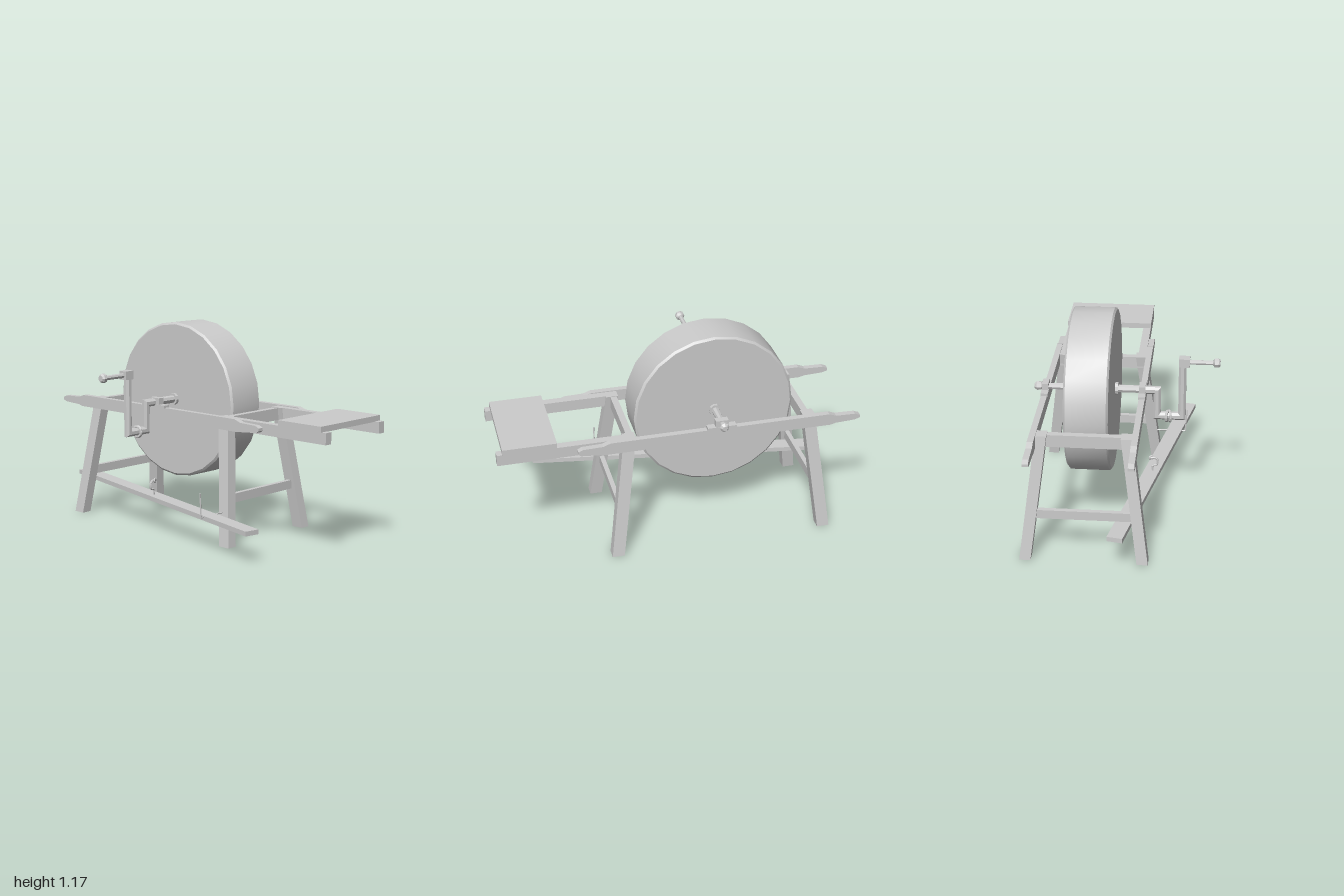
import * as THREE from 'three';
import { toCreasedNormals } from 'three/addons/utils/BufferGeometryUtils.js';

const CX = 0.172, CZ = -0.212; // centre of the trestle
const AXLE_Y = 0.73;

export function createModel() {
  const root = new THREE.Group();
  const flat = new THREE.MeshStandardMaterial({ color: 0xcccccc, flatShading: true });
  const smooth = new THREE.MeshStandardMaterial({ color: 0xcccccc });

  function add(name, geo, mat = flat) {
    const mesh = new THREE.Mesh(geo, mat);
    mesh.name = name;
    root.add(mesh);
    return mesh;
  }
  // box given by its limits on each axis
  function box(name, x0, x1, y0, y1, z0, z1) {
    const geo = new THREE.BoxGeometry(x1 - x0, y1 - y0, z1 - z0);
    geo.translate((x0 + x1) / 2, (y0 + y1) / 2, (z0 + z1) / 2);
    return add(name, geo);
  }
  // turned part along x: profile of [x, radius]
  function turned(name, profile, y, z, sides, crease = 0.6) {
    const geo = new THREE.LatheGeometry(profile.map(([x, r]) => new THREE.Vector2(r, x)), sides);
    geo.rotateZ(-Math.PI / 2);
    geo.translate(0, y, z);
    return add(name, toCreasedNormals(geo, crease), smooth);
  }
  // bar with mitred corners along a path of [x, y] in a plane of constant z
  function mitredBar(name, path, z, r, sides = 8) {
    const pts = path.map(p => new THREE.Vector2(...p));
    const pos = [], idx = [];
    pts.forEach((p, i) => {
      const a = pts[Math.max(i - 1, 0)], b = pts[Math.min(i + 1, pts.length - 1)];
      const d0 = (i ? p.clone().sub(a) : b.clone().sub(p)).normalize();
      const d1 = (i < pts.length - 1 ? b.clone().sub(p) : d0.clone()).normalize();
      const t = d0.clone().add(d1).normalize();
      const k = r / t.dot(d0);
      for (let j = 0; j < sides; j++) {
        const an = ((j + 0.5) / sides) * Math.PI * 2;
        const c = Math.cos(an) * k;
        pos.push(p.x - t.y * c, p.y + t.x * c, z + Math.sin(an) * r);
        if (i < pts.length - 1) {
          const q = i * sides + j, n = i * sides + (j + 1) % sides;
          idx.push(q, n, q + sides, n, n + sides, q + sides);
        }
      }
    });
    const last = (pts.length - 1) * sides;
    for (let j = 1; j < sides - 1; j++) idx.push(0, j + 1, j, last, last + j, last + j + 1);
    const geo = new THREE.BufferGeometry();
    geo.setAttribute('position', new THREE.Float32BufferAttribute(pos, 3));
    geo.setIndex(idx);
    geo.computeVertexNormals();
    return add(name, geo);
  }

  // grindstone with a small chamfer
  const R = 0.447;
  turned('grindstone', [[0.055, 0], [0.055, R - 0.012], [0.065, R], [0.28, R], [0.29, R - 0.012], [0.29, 0]],
    0.726, CZ, 24, 0.5);

  // long side rails with shaped handle ends
  const half = [[0.573, 0.66], [0.56, 0.65], [0.5, 0.645], [0.42, 0.637], [-0.83, 0.637], [-0.86, 0.645],
    [-0.97, 0.65], [-1, 0.66], [-1, 0.675], [-0.97, 0.687], [-0.86, 0.69], [-0.82, 0.705], [0.4, 0.705],
    [0.44, 0.69], [0.55, 0.687], [0.573, 0.675]];
  for (const [side, x] of [['right', -0.111], ['left', 0.422]]) {
    const shape = new THREE.Shape(half.map(([z, y]) => new THREE.Vector2(-z, y)));
    const geo = new THREE.ExtrudeGeometry(shape, { depth: 0.033, bevelEnabled: false });
    geo.rotateY(Math.PI / 2);
    geo.translate(x, 0, 0);
    add(side + 'Rail', geo);
  }

  // splayed legs: sheared boxes
  for (const sx of [-1, 1]) for (const sz of [-1, 1]) {
    const geo = new THREE.BoxGeometry(0.06, 0.7, 0.068);
    geo.translate(CX + sx * 0.313, 0.35, CZ + sz * 0.593);
    const p = geo.attributes.position;
    for (let i = 0; i < p.count; i++) {
      const t = p.getY(i) / 0.7;
      p.setXYZ(i, p.getX(i) - sx * 0.09 * t, p.getY(i), p.getZ(i) - sz * 0.091 * t);
    }
    geo.computeVertexNormals();
    add((sz > 0 ? 'front' : 'back') + (sx > 0 ? 'Left' : 'Right') + 'Leg', geo);
  }

  // upper cross beams and lower stretchers
  for (const s of [-1, 1]) {
    const end = s > 0 ? 'front' : 'back';
    const zb = CZ + s * 0.494, zs = CZ + s * 0.56;
    box(end + 'CrossBeam', -0.078, 0.422, 0.628, 0.697, zb - 0.018, zb + 0.018);
    box(end + 'Stretcher', -0.11, 0.454, 0.23, 0.28, zs - 0.013, zs + 0.013);
  }

  // seat board on two arms
  for (const [side, x] of [['right', -0.078], ['left', 0.377]])
    box(side + 'SeatArm', x, x + 0.045, 0.637, 0.7, 0.3, 1);
  box('seat', -0.08, 0.425, 0.698, 0.73, 0.68, 0.97);

  // bearing blocks on the rails
  for (const x of [-0.094, 0.438]) {
    box('bearingBase', x - 0.02, x + 0.02, 0.7, 0.718, CZ - 0.08, CZ + 0.08);
    box('bearingCap', x - 0.018, x + 0.018, 0.7, 0.755, CZ - 0.035, CZ + 0.035);
  }

  // axle with end knob and hub collars
  turned('axle', [[-0.1, 0], [-0.1, 0.022], [0.04, 0.022], [0.3, 0.022], [0.42, 0.016], [0.455, 0.016],
    [0.46, 0.024], [0.485, 0.026], [0.5, 0.014], [0.5, 0]], AXLE_Y, CZ - 0.004, 8);
  turned('hubCollar', [[0.038, 0], [0.038, 0.034], [0.307, 0.034], [0.307, 0]], AXLE_Y, CZ - 0.004, 10);

  // crank with offset throw, handle and grip
  mitredBar('crank', [[-0.08, 0.73], [-0.175, 0.73], [-0.175, 0.577], [-0.312, 0.577], [-0.312, 0.925]],
    CZ - 0.008, 0.0225);
  box('crankElbow', -0.35, -0.292, 0.882, 0.93, CZ - 0.034, CZ + 0.018);
  turned('crankHandle', [[-0.515, 0], [-0.515, 0.018], [-0.505, 0.026], [-0.485, 0.026], [-0.475, 0.013],
    [-0.35, 0.014], [-0.335, 0.014], [-0.335, 0]], 0.905, CZ - 0.008, 8);

  // strap tied round the crank throw
  for (const [x, tilt] of [[-0.245, 0.2], [-0.232, -0.2]]) {
    const ring = add('crankStrap', new THREE.TorusGeometry(0.029, 0.008, 6, 12));
    ring.position.set(x, 0.575, CZ - 0.008);
    ring.rotation.y = Math.PI / 2 + tilt;
  }

  // treadle plank running at an angle beside the frame
  const a = new THREE.Vector3(-0.318, 0.17, 0.715), b = new THREE.Vector3(-0.003, 0.209, -0.932);
  const treadle = add('treadle', new THREE.BoxGeometry(0.085, 0.026, a.distanceTo(b)));
  treadle.position.copy(a).add(b).multiplyScalar(0.5);
  treadle.lookAt(a);

  // treadle pivot pin with upturned end
  mitredBar('pivotPin', [[-0.11, 0.186], [-0.312, 0.186], [-0.321, 0.322]], 0.345, 0.004, 6);

  // hook on the treadle
  const hook = new THREE.CatmullRomCurve3([[-0.152, 0.2], [-0.153, 0.235], [-0.174, 0.24], [-0.176, 0.275],
    [-0.16, 0.287], [-0.14, 0.286]].map(([x, y]) => new THREE.Vector3(x, y, -0.18)));
  add('treadleHook', new THREE.TubeGeometry(hook, 16, 0.006, 6));
  const eye = add('hookEye', new THREE.TorusGeometry(0.011, 0.005, 6, 10));
  eye.position.set(-0.143, 0.285, -0.18);
  eye.rotation.y = 0.5;

  return root;
}
